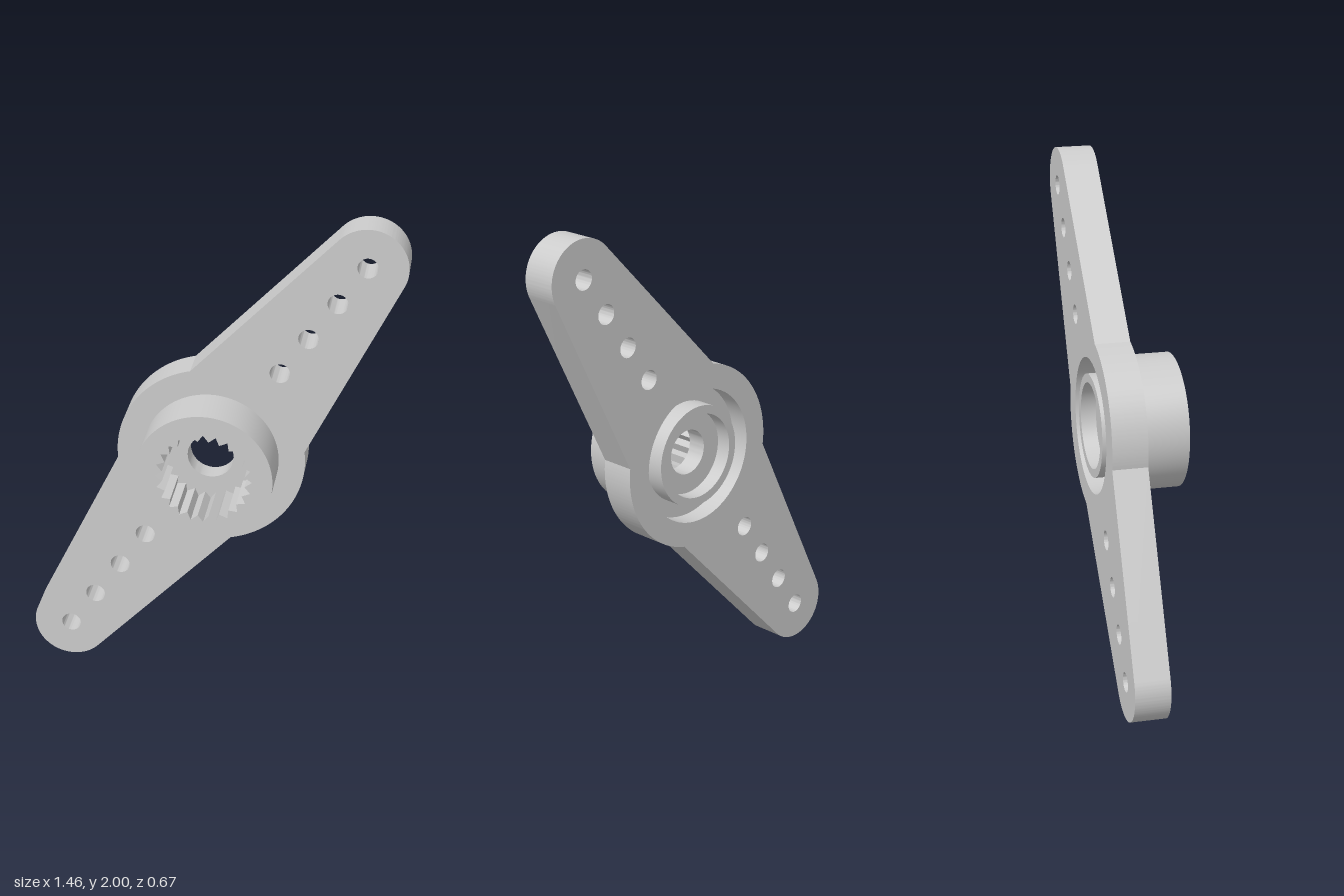
import * as THREE from 'three';
import { toCreasedNormals } from 'three/addons/utils/BufferGeometryUtils.js';

const TILT = 0.956;          // lean of the arms in the plate's own plane
const BACK = -0.083, FACE = 0.06, FRONT = 0.255;
const HUB_R = 0.378, TIP_R = 0.155, TIP_X = 1.035;

function circle(x, r) {
  return new THREE.Path().absarc(x, 0, r, 0, Math.PI * 2, true);
}

function extrude(shape, from, to) {
  const g = new THREE.ExtrudeGeometry(shape, { depth: to - from, bevelEnabled: false, curveSegments: 40 });
  g.translate(0, 0, from);
  return g;
}

export function createModel() {
  const model = new THREE.Group();
  model.name = 'servoHorn';
  const material = new THREE.MeshStandardMaterial({ color: 0xcccccc });
  const add = (name, geometry) => {
    const mesh = new THREE.Mesh(toCreasedNormals(geometry, 0.5), material);
    mesh.name = name;
    horn.add(mesh);
  };
  const horn = new THREE.Group();
  horn.name = 'horn';
  horn.rotation.set(0, -Math.PI / 9, TILT);
  horn.position.set(-0.005, 1, 0);
  model.add(horn);

  // Two tapered arms with round tips on a round hub
  const tip = 1.414, joint = 0.832, PI = Math.PI;
  const outline = new THREE.Shape();
  outline.absarc(TIP_X, 0, TIP_R, -tip, tip, false);
  outline.absarc(0, 0, HUB_R, joint, PI - joint, false);
  outline.absarc(-TIP_X, 0, TIP_R, PI - tip, PI + tip, false);
  outline.absarc(0, 0, HUB_R, PI + joint, 2 * PI - joint, false);
  outline.closePath();
  outline.holes.push(circle(0, 0.277));
  for (const side of [-1, 1]) {
    for (let i = 0; i < 4; i++) outline.holes.push(circle(side * (TIP_X - i * 0.188), 0.04));
  }
  add('armPlate', extrude(outline, BACK, FACE));

  // Hub web: screw hole, screw-head recess, raised ring and groove at the back
  const profile = [
    [0.28, FACE], [0.093, FACE], [0.093, -0.02], [0.175, -0.02],
    [0.175, BACK], [0.21, BACK], [0.21, -0.003], [0.28, -0.003],
  ].map(([r, y]) => new THREE.Vector2(r, y));
  add('hubWeb', new THREE.LatheGeometry(profile, 64).rotateX(PI / 2));

  // Boss with a toothed socket
  const boss = new THREE.Shape().absarc(0, 0, 0.273, 0, PI * 2, false);
  const teeth = 24, socket = [];
  for (let i = 0; i < teeth * 2; i++) {
    const a = i * PI / teeth - TILT, r = i % 2 ? 0.165 : 0.192;
    socket.push(new THREE.Vector2(r * Math.cos(a), r * Math.sin(a)));
  }
  boss.holes.push(new THREE.Path(socket.reverse()));
  add('splinedBoss', extrude(boss, FACE, FRONT));

  return model;
}
